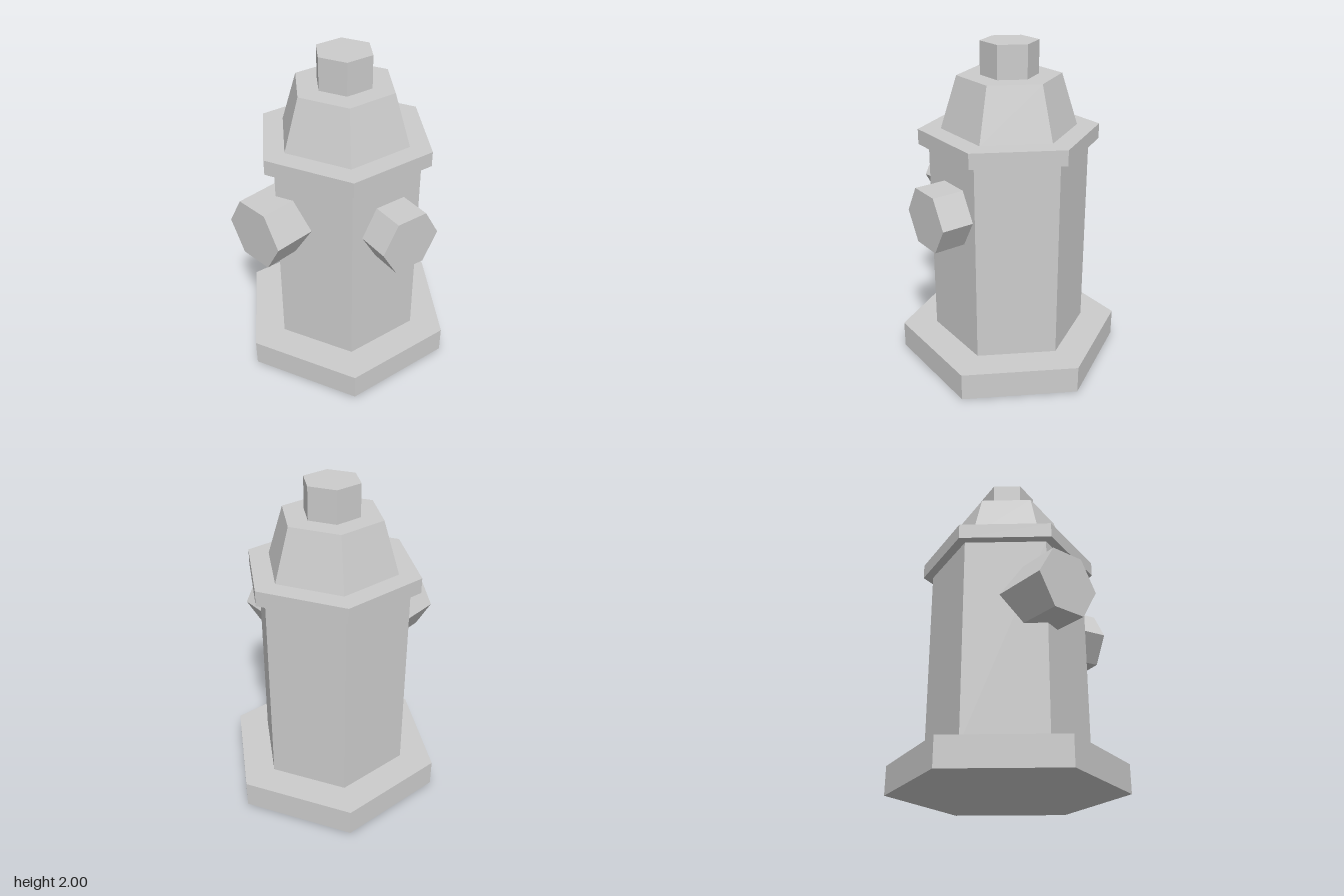
import * as THREE from 'three';

export function createModel() {
  const hydrant = new THREE.Group();
  hydrant.name = 'hydrant';
  const material = new THREE.MeshStandardMaterial({ color: 0xcccccc, flatShading: true });

  // Upright six-sided section with a corner facing the front
  const section = (name, bottomRadius, topRadius, y0, y1) => {
    const mesh = new THREE.Mesh(new THREE.CylinderGeometry(topRadius, bottomRadius, y1 - y0, 6), material);
    mesh.name = name;
    mesh.position.set(-0.006, (y0 + y1) / 2, 0);
    hydrant.add(mesh);
  };

  // Horizontal six-sided outlet; x, z mark the centre of its outer face
  const outlet = (name, radius, length, x, z, yaw) => {
    const geometry = new THREE.CylinderGeometry(radius, radius, length, 6);
    geometry.rotateZ(-Math.PI / 2);
    geometry.translate(-length / 2, 0, 0);
    const mesh = new THREE.Mesh(geometry, material);
    mesh.name = name;
    mesh.position.set(x, 1.05, z);
    mesh.rotation.y = yaw;
    hydrant.add(mesh);
  };

  // Stacked sections from the ground up
  section('base', 0.695, 0.695, 0, 0.17);
  section('barrel', 0.48, 0.48, 0.17, 1.4);
  section('flange', 0.541, 0.541, 1.4, 1.492);
  section('bonnet', 0.406, 0.307, 1.492, 1.805);
  section('topNut', 0.171, 0.171, 1.805, 2);

  // Side outlet, and a front outlet turned slightly to the left
  outlet('leftOutlet', 0.195, 0.3, 0.605, -0.025, 0);
  outlet('frontOutlet', 0.21, 0.4, 0.025, 0.653, THREE.MathUtils.degToRad(-80));

  return hydrant;
}
